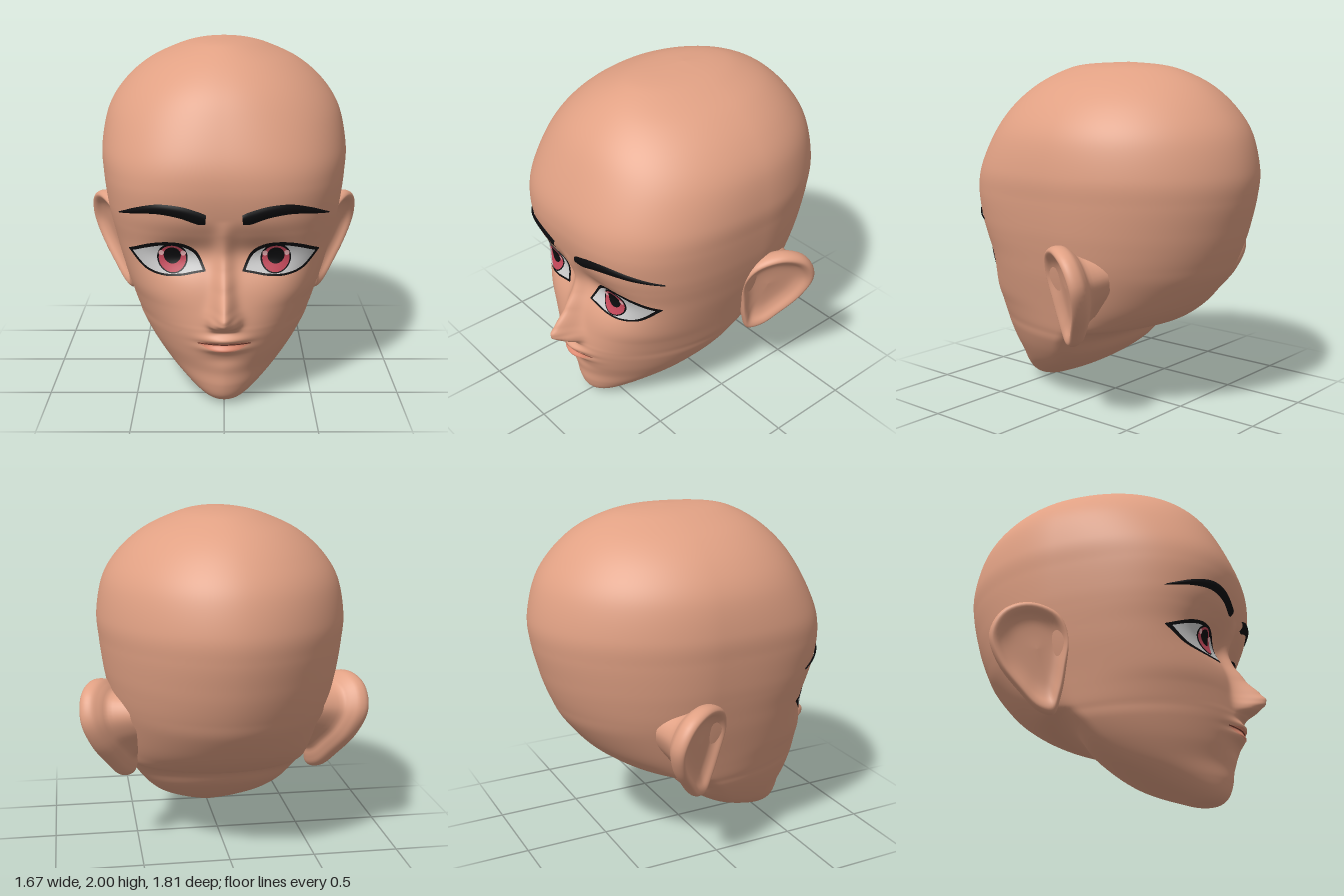
import * as THREE from 'three';

// Head sections, chin to crown: [y, front z, back z, half width, z of widest point, front squareness]
const SECTIONS = [
  [0, .56, .56, 0, .56, 2], [.012, .62, .46, .075, .54, 2], [.05, .665, .36, .15, .48, 1.9],
  [.12, .69, .2, .25, .37, 1.8], [.2, .70, .06, .345, .25, 1.8], [.3, .73, -.065, .43, .14, 1.9],
  [.4, .75, -.14, .495, .05, 2], [.46, .755, -.25, .52, 0, 2.1], [.5, .75, -.41, .535, -.02, 2.2],
  [.57, .74, -.53, .555, -.04, 2.4], [.66, .725, -.63, .58, -.06, 2.7], [.8, .70, -.74, .62, -.08, 2.9],
  [.9, .70, -.79, .645, -.1, 3], [1, .725, -.83, .668, -.1, 3], [1.1, .76, -.86, .687, -.1, 2.9],
  [1.25, .785, -.895, .706, -.1, 2.8], [1.4, .77, -.905, .715, -.1, 2.6], [1.6, .69, -.855, .677, -.1, 2.35],
  [1.75, .60, -.755, .583, -.1, 2.2], [1.87, .475, -.62, .443, -.1, 2.1], [1.95, .335, -.46, .275, -.1, 2],
  [1.985, .19, -.31, .15, -.1, 2], [2, -.1, -.1, 0, -.1, 2],
];
const LAST = SECTIONS.length - 1;

const mat = (color, side = THREE.FrontSide) => new THREE.MeshStandardMaterial({ color, side });
const gauss = (v, centre, width) => Math.exp(-(((v - centre) / width) ** 2));
const spline = pts => new THREE.SplineCurve(pts.map(p => new THREE.Vector2(...p)));

// Smoothly interpolated section at t = 0..1
function section(t) {
  const s = Math.min(Math.max(t, 0), 1) * LAST, i = Math.min(Math.floor(s), LAST - 1), f = s - i;
  const row = k => SECTIONS[Math.min(Math.max(k, 0), LAST)];
  const [p, q, r, w] = [row(i - 1), row(i), row(i + 1), row(i + 2)];
  return q.map((b, k) => b + .5 * f * (r[k] - p[k] + f * (2 * p[k] - 5 * b + 4 * r[k] - w[k]
    + f * (3 * (b - r[k]) + w[k] - p[k]))));
}

// Height of the nose ridge above the face: [y, height]
const RIDGE = [[.46, 0], [.485, .04], [.515, .115], [.545, .158], [.575, .167], [.61, .142], [.7, .08],
  [.8, .05], [.9, .035], [1, .02], [1.09, 0]];
function ridge(y) {
  const i = RIDGE.findIndex(p => p[0] > y);
  if (i < 1) return 0;
  const [a, b] = [RIDGE[i - 1], RIDGE[i]];
  return THREE.MathUtils.lerp(a[1], b[1], THREE.MathUtils.smoothstep(y, a[0], b[0]) * .4 + .6 * (y - a[0]) / (b[0] - a[0]));
}

// Forward relief of the face: nose, nostrils, hollow between the brows, eye sockets, lips and the dent under them
function relief(x, y) {
  const ax = Math.abs(x), lips = gauss(x, 0, .11);
  return ridge(y) * gauss(x, 0, .048 + .014 * gauss(y, .53, .09))
    + .03 * gauss(ax, .06, .03) * gauss(y, .52, .035)
    - .025 * gauss(x, 0, .3) * gauss(y, .89, .11)
    - .038 * gauss(ax, .23, .17) * gauss(y, .865, .1)
    + lips * (.03 * gauss(y, .42, .025) + .03 * gauss(y, .362, .022)
      - .006 * gauss(y, .396, .01) - .012 * gauss(y, .29, .04));
}

// Depth of the face surface at (x, y)
function faceZ(x, y) {
  let lo = 0, hi = 1;
  for (let k = 0; k < 30; k++) {
    const mid = (lo + hi) / 2;
    if (section(mid)[0] < y) lo = mid; else hi = mid;
  }
  const [, zf, , w, zc, n] = section(lo);
  return zc + (zf - zc) * Math.max(1 - (Math.abs(x) / w) ** n, 0) ** (1 / n) + relief(x, y);
}

// Surface from f(row, column), both 0..1; closed surfaces join the last column to the first
function grid(rows, cols, f, { closed = false, flip = false } = {}) {
  const pos = [], index = [], stride = closed ? cols : cols + 1;
  for (let i = 0; i <= rows; i++) for (let j = 0; j < stride; j++) pos.push(...f(i / rows, j / cols));
  for (let i = 0; i < rows; i++) for (let j = 0; j < cols; j++) {
    const k = (j + 1) % stride;
    const a = i * stride + j, b = i * stride + k, c = a + stride, d = b + stride;
    if (flip) index.push(a, d, b, a, c, d); else index.push(a, b, d, a, d, c);
  }
  const g = new THREE.BufferGeometry();
  g.setAttribute('position', new THREE.Float32BufferAttribute(pos, 3));
  g.setIndex(index);
  g.computeVertexNormals();
  return g;
}

function headGeometry() {
  return grid(220, 200, (t, v) => {
    const [y, zf, zb, w, zc, nf] = section(t);
    const u = (v - .5) * 2 * Math.PI, th = u - .55 * Math.sin(u); // finer columns on the face
    const s = Math.sin(th), c = Math.cos(th), front = c > 0;
    const n = front ? nf : 1.9 + .7 * gauss(y, .25, .15);
    const a = Math.max(w, 1e-5), b = Math.max(front ? zf - zc : zc - zb, 1e-5);
    const r = ((Math.abs(s) / a) ** n + (Math.abs(c) / b) ** n) ** (-1 / n);
    const x = r * s;
    return [x, y, zc + r * c + (front ? relief(x, y) : 0)];
  }, { closed: true });
}

// Patch on the face between a lower and an upper curve
function band(lower, upper, side, lift) {
  const [lo, up] = [spline(lower), spline(upper)];
  return grid(10, 40, (v, u) => {
    const p = lo.getPoint(u).lerp(up.getPoint(u), v);
    return [side * p.x, p.y, faceZ(p.x, p.y) + lift(v)];
  }, { flip: side < 0 });
}

// Round patch on the face
function disc(cx, cy, radius, side, lift) {
  return grid(6, 32, (r, u) => {
    const x = cx + radius * r * Math.sin(u * 2 * Math.PI), y = cy + radius * r * Math.cos(u * 2 * Math.PI);
    return [side * x, y, faceZ(x, y) + lift];
  }, { closed: true, flip: side < 0 });
}

// Ear: rings from the hollow over the rounded rim and down its back into the skull
function earGeometry(side) {
  const outline = new THREE.CatmullRomCurve3([[-.02, .86], [-.07, .98], [-.2, 1.03], [-.33, .98], [-.405, .84],
    [-.37, .68], [-.28, .54], [-.2, .445], [-.13, .43], [-.09, .52], [-.05, .68]]
    .map(([z, y]) => new THREE.Vector3(0, y, z)), true);
  const rings = spline([[0, -.03], [.3, -.032], [.55, -.028], [.72, -.012], [.84, .012], [.93, .018],
    [.99, 0], [1, -.03], [.95, -.065], [.82, -.095], [.66, -.13], [.55, -.24]]);
  const normal = new THREE.Vector3(1, -.25, .55).normalize();
  return grid(40, 56, (t, u) => {
    const p = outline.getPoint(u), ring = rings.getPoint(t);
    p.y = .78 + (p.y - .78) * ring.x;
    p.z = -.18 + (p.z + .18) * ring.x;
    p.x = .658 + .56 * (-.08 - p.z) + .26 * (p.y - .9);
    p.addScaledVector(normal, ring.y);
    return [side * p.x, p.y, p.z];
  }, { closed: true, flip: side < 0 });
}

export function createModel() {
  const model = new THREE.Group();
  const add = (parent, name, geometry, material) => {
    const mesh = new THREE.Mesh(geometry, material);
    mesh.name = name;
    parent.add(mesh);
  };
  const thin = color => mat(color, THREE.DoubleSide);
  const skin = mat(0xe1a184), earSkin = thin(0xe1a184), black = thin(0x0c0c0e), white = thin(0xe6e6e6);
  const red = thin(0xc4485a), pink = thin(0xf0b4b8), lip = thin(0xe08c72), mouthLine = thin(0x70382c);

  add(model, 'head', headGeometry(), skin);

  for (const [side, label] of [[1, 'left'], [-1, 'right']]) {
    add(model, label + 'Ear', earGeometry(side), earSkin);

    // Eyebrow, slightly raised
    add(model, label + 'Eyebrow', band(
      [[.1, 1.07], [.14, 1.07], [.24, 1.105], [.36, 1.12], [.48, 1.105], [.58, 1.08]],
      [[.095, 1.125], [.14, 1.145], [.24, 1.172], [.36, 1.175], [.48, 1.14], [.58, 1.087]],
      side, v => .004 + .011 * Math.sin(Math.PI * v)), black);

    // Eye, layered from the dark rim to the highlights
    const eye = new THREE.Group();
    eye.name = label + 'Eye';
    add(eye, 'lashLine', band(
      [[.1, .79], [.16, .778], [.24, .762], [.34, .758], [.44, .785], [.53, .87]],
      [[.1, .797], [.15, .895], [.23, .942], [.33, .948], [.43, .925], [.53, .876]], side, () => .004), black);
    add(eye, 'eyeWhite', band(
      [[.118, .798], [.17, .788], [.24, .774], [.34, .77], [.43, .796], [.505, .866]],
      [[.118, .803], [.16, .88], [.235, .922], [.33, .928], [.425, .905], [.505, .87]], side, () => .007), white);
    add(eye, 'irisRim', disc(.282, .857, .084, side, .01), black);
    add(eye, 'iris', disc(.282, .855, .075, side, .013), red);
    add(eye, 'pupil', disc(.282, .872, .047, side, .016), black);
    for (const dx of [-.06, .06]) add(eye, 'highlight', disc(.282 + dx, .886, .015, side, .018), pink);
    model.add(eye);
  }

  // Mouth
  add(model, 'lowerLip', band([[-.14, .392], [-.08, .366], [0, .354], [.08, .366], [.14, .392]],
    [[-.14, .394], [0, .394], [.14, .394]], 1, () => .004), lip);
  add(model, 'upperLip', band([[-.14, .397], [0, .397], [.14, .397]],
    [[-.14, .399], [-.05, .411], [0, .407], [.05, .411], [.14, .399]], 1, () => .004), lip);
  add(model, 'mouthLine', band([[-.147, .392], [0, .392], [.147, .392]],
    [[-.147, .398], [0, .399], [.147, .398]], 1, () => .006), mouthLine);
  return model;
}
